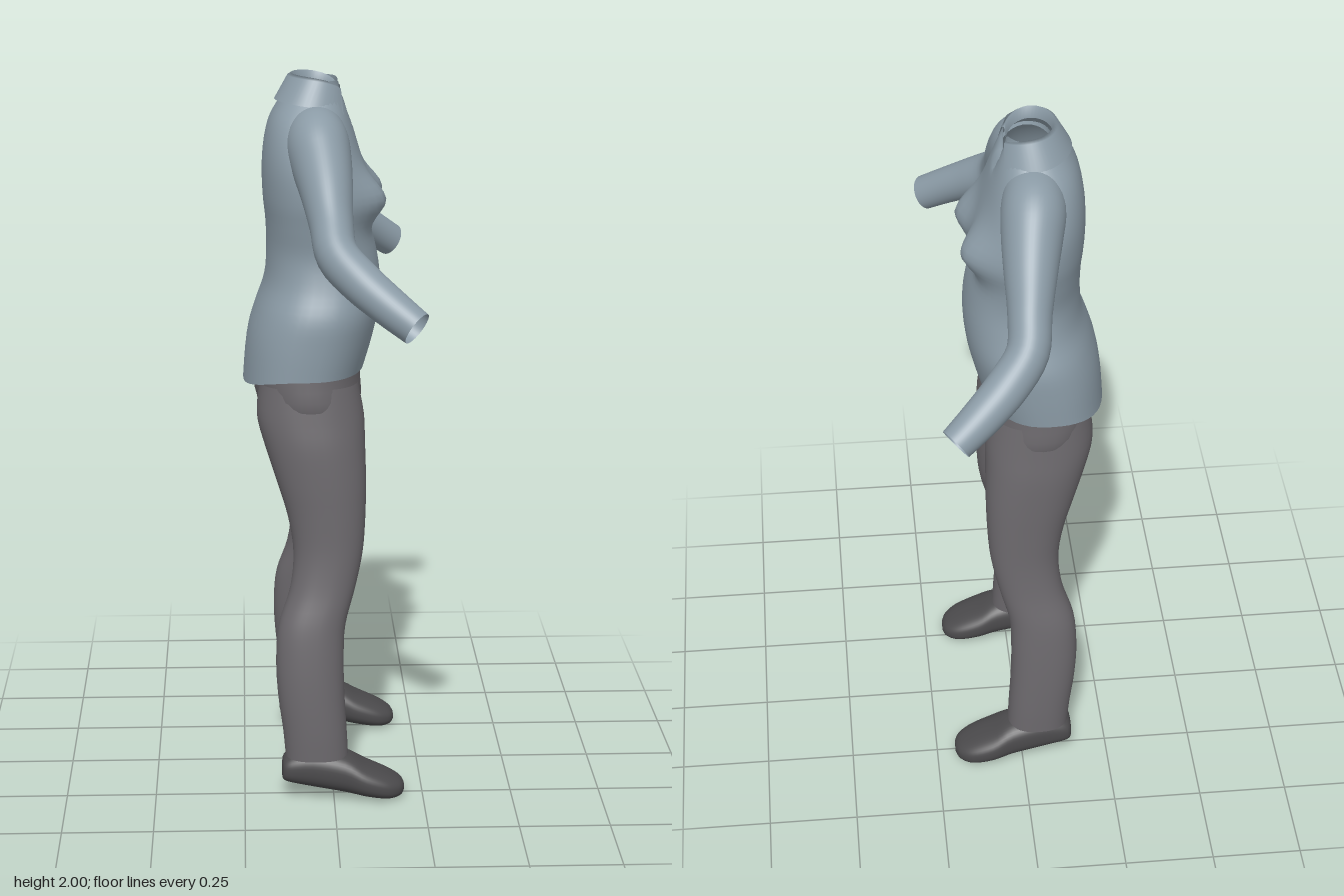
import * as THREE from 'three';

const SEG = 48;
const shirt = new THREE.MeshStandardMaterial({ color: 0x8b9ba6, side: THREE.DoubleSide });
shirt.name = 'blue grey cloth';
const trouser = new THREE.MeshStandardMaterial({ color: 0x6b686c, side: THREE.DoubleSide });
trouser.name = 'dark grey cloth';
const leather = new THREE.MeshStandardMaterial({ color: 0x4b4a4c, side: THREE.DoubleSide });
leather.name = 'charcoal leather';

// Smoothly fills in rows of numbers, n steps between each pair
function smooth(rows, n) {
  const out = [];
  const last = rows.length - 1;
  for (let i = 0; i < last; i++) {
    const a = rows[Math.max(i - 1, 0)], b = rows[i], c = rows[i + 1], d = rows[Math.min(i + 2, last)];
    for (let k = 0; k < n; k++) {
      const t = k / n;
      out.push(b.map((p, j) => {
        const k1 = c[j] - a[j];
        const k2 = 2 * a[j] - 5 * p + 4 * c[j] - d[j];
        const k3 = 3 * (p - c[j]) + d[j] - a[j];
        return p + 0.5 * t * (k1 + t * (k2 + t * k3));
      }));
    }
  }
  out.push(rows[last]);
  return out;
}

// Skins a list of rings; closed rings wrap round, caps close the ends
function loft(rings, { closed = true, capped = false } = {}) {
  const m = rings[0].length, pts = rings.flat(), idx = [];
  for (let i = 0; i < rings.length - 1; i++) {
    for (let j = 0; j < (closed ? m : m - 1); j++) {
      const k = (j + 1) % m, a = i * m + j, b = i * m + k;
      idx.push(a, b, b + m, a, b + m, a + m);
    }
  }
  const cap = (loop, flip) => {
    const c = new THREE.Vector3();
    loop.forEach((p) => c.addScaledVector(p, 1 / m));
    const base = pts.length;
    pts.push(...loop, c);
    for (let j = 0; j < m; j++) {
      const k = (j + 1) % m;
      idx.push(base + m, base + (flip ? k : j), base + (flip ? j : k));
    }
  };
  if (capped) {
    cap(rings[0], true);
    cap(rings[rings.length - 1], false);
  }
  // turn the faces outward
  const mid = new THREE.Vector3(), v = new THREE.Vector3();
  pts.forEach((p) => mid.addScaledVector(p, 1 / pts.length));
  let vol = 0;
  for (let i = 0; i < idx.length; i += 3) {
    const [a, b, c] = [0, 1, 2].map((q) => pts[idx[i + q]].clone().sub(mid));
    vol += a.dot(v.crossVectors(b, c));
  }
  if (vol < 0) idx.reverse();
  const g = new THREE.BufferGeometry().setFromPoints(pts);
  g.setIndex(idx);
  g.computeVertexNormals();
  return g;
}

// Closed loop of points from a function of the angle
const ring = (f) => Array.from({ length: SEG }, (_, j) => f((j / SEG) * Math.PI * 2));
const pow = (v, p) => Math.sign(v) * Math.abs(v) ** p;

// Level ring between x limits and z limits; angle 0 is the chest side
const levelRing = ([y, xb, xf, z0, z1]) => ring((t) => new THREE.Vector3(
  (xb + xf) / 2 + ((xf - xb) / 2) * pow(Math.cos(t), 0.87), y,
  (z0 + z1) / 2 + ((z1 - z0) / 2) * pow(Math.sin(t), 0.87)));

function torsoGeometry() {
  // y, back x, front x, half width
  const rows = smooth([
    [1.195, -0.245, 0.09, 0.255], [1.28, -0.235, 0.115, 0.257], [1.36, -0.212, 0.132, 0.253],
    [1.44, -0.185, 0.136, 0.225], [1.52, -0.178, 0.125, 0.21], [1.60, -0.18, 0.105, 0.22],
    [1.67, -0.187, 0.108, 0.232], [1.75, -0.189, 0.09, 0.228], [1.82, -0.183, 0.07, 0.205],
    [1.88, -0.168, 0.052, 0.168], [1.93, -0.14, 0.037, 0.12], [1.965, -0.115, 0.026, 0.09],
    [1.985, -0.108, 0.024, 0.084]], 4);
  return loft(rows.map(([y, xb, xf, w]) => levelRing([y, xb, xf, -w, w]).map((p, j) => {
    const c = Math.cos((j / SEG) * Math.PI * 2);
    if (c > 0) {
      // bust
      const dz = (Math.abs(p.z) - 0.11) / 0.075, dy = (y - 1.67) / 0.065;
      p.x += 0.05 * Math.exp(-dz * dz - dy * dy) * Math.min(1, c * 2);
      // open neckline
      p.y -= 0.11 * Math.exp(-((p.z / 0.022) ** 2)) * Math.max(0, (y - 1.86) / 0.125);
    } else {
      // hem drops at the back
      p.y -= 0.04 * c * c * Math.max(0, 1 - (y - 1.195) / 0.12);
    }
    return p;
  })));
}

function sleeveGeometry(s) {
  // x, y, z, radius, thickness along x
  const rows = smooth([
    [-0.045, 1.855, 0.08, 0.075, 0.075], [-0.04, 1.825, 0.15, 0.096, 0.085], [-0.03, 1.775, 0.21, 0.096, 0.08],
    [-0.02, 1.72, 0.28, 0.083, 0.07], [-0.01, 1.645, 0.36, 0.07, 0.058], [0.003, 1.58, 0.435, 0.064, 0.056],
    [0.06, 1.525, 0.498, 0.058, 0.056], [0.13, 1.472, 0.55, 0.052, 0.052], [0.2, 1.422, 0.592, 0.049, 0.046]], 4);
  const at = (r) => new THREE.Vector3(r[0], r[1], r[2] * s);
  return loft(rows.map((r, i) => {
    const next = at(rows[Math.min(i + 1, rows.length - 1)]);
    const dir = next.sub(at(rows[Math.max(i - 1, 0)])).normalize();
    const b = dir.clone().cross(new THREE.Vector3(1, 0, 0)).normalize();
    const a = b.clone().cross(dir);
    return ring((t) => at(r).addScaledVector(a, r[4] * Math.cos(t)).addScaledVector(b, r[3] * Math.sin(t)));
  }));
}

function collarGeometry() {
  // stand, fold and falling edge: front gap, radius x, radius z, back height, front height
  const edges = [
    [0.4, 0.062, 0.08, 1.965, 1.935], [0.38, 0.066, 0.085, 2.0, 1.965],
    [0.45, 0.076, 0.094, 1.994, 1.96], [0.85, 0.112, 0.13, 1.93, 1.89]];
  return loft(edges.map(([gap, rx, rz, yb, yf]) => Array.from({ length: 41 }, (_, j) => {
    const u = j / 20 - 1, t = Math.PI + u * (Math.PI - gap);
    return new THREE.Vector3(-0.042 + rx * Math.cos(t), yb + (yf - yb) * Math.abs(u) ** 3, rz * Math.sin(t));
  })), { closed: false });
}

function legGeometry(s) {
  // y, back x, front x, inner z, outer z
  const rows = smooth([
    [1.17, -0.2, 0.07, 0.0, 0.24], [1.08, -0.208, 0.087, 0.002, 0.252], [1.0, -0.188, 0.09, 0.03, 0.262],
    [0.9, -0.155, 0.092, 0.072, 0.266], [0.8, -0.125, 0.09, 0.097, 0.268], [0.7, -0.11, 0.082, 0.12, 0.272],
    [0.6, -0.12, 0.06, 0.148, 0.284], [0.5, -0.152, 0.033, 0.165, 0.305], [0.4, -0.16, 0.028, 0.174, 0.318],
    [0.3, -0.155, 0.03, 0.18, 0.326], [0.2, -0.142, 0.036, 0.185, 0.33], [0.125, -0.135, 0.04, 0.19, 0.33]], 4);
  return loft(rows.map(([y, xb, xf, zi, zo]) => levelRing([y, xb, xf, zi * s, zo * s])));
}

function hipGeometry() {
  // y, back x, front x, half width
  const rows = smooth([
    [1.26, -0.21, 0.08, 0.24], [1.19, -0.222, 0.08, 0.246], [1.11, -0.208, 0.084, 0.25],
    [1.06, -0.18, 0.072, 0.22], [1.03, -0.14, 0.05, 0.15], [1.015, -0.1, 0.02, 0.08]], 3);
  return loft(rows.map(([y, xb, xf, w]) => levelRing([y, xb, xf, -w, w])), { capped: true });
}

function shoeGeometry(s) {
  // x, sole y, top y, centre z, half width
  const rows = smooth([
    [-0.145, 0.06, 0.1, 0.262, 0.025], [-0.132, 0.05, 0.125, 0.262, 0.05], [-0.06, 0.035, 0.145, 0.264, 0.06],
    [0.03, 0.02, 0.132, 0.267, 0.067], [0.09, 0.009, 0.1, 0.269, 0.075], [0.15, 0.001, 0.072, 0.269, 0.067],
    [0.185, 0.006, 0.052, 0.267, 0.044], [0.197, 0.018, 0.036, 0.265, 0.018]], 4);
  return loft(rows.map(([x, y0, y1, zc, w]) => ring((t) => {
    const y = (y0 + y1) / 2 + ((y1 - y0) / 2) * pow(Math.sin(t), 0.8);
    return new THREE.Vector3(x, y, s * (zc + w * pow(Math.cos(t), 0.8)));
  })), { capped: true });
}

export function createModel() {
  const model = new THREE.Group();
  model.name = 'outfit';
  const add = (name, geometry, material) => {
    const mesh = new THREE.Mesh(geometry, material);
    mesh.name = name;
    model.add(mesh);
  };
  add('shirtBody', torsoGeometry(), shirt);
  add('collar', collarGeometry(), shirt);
  add('trouserHips', hipGeometry(), trouser);
  // the clothes face +x, so pairs mirror across z
  for (const s of [1, -1]) {
    const side = s > 0 ? 'PositiveZ' : 'NegativeZ';
    add('sleeve' + side, sleeveGeometry(s), shirt);
    add('trouserLeg' + side, legGeometry(s), trouser);
    add('shoe' + side, shoeGeometry(s), leather);
  }
  return model;
}
